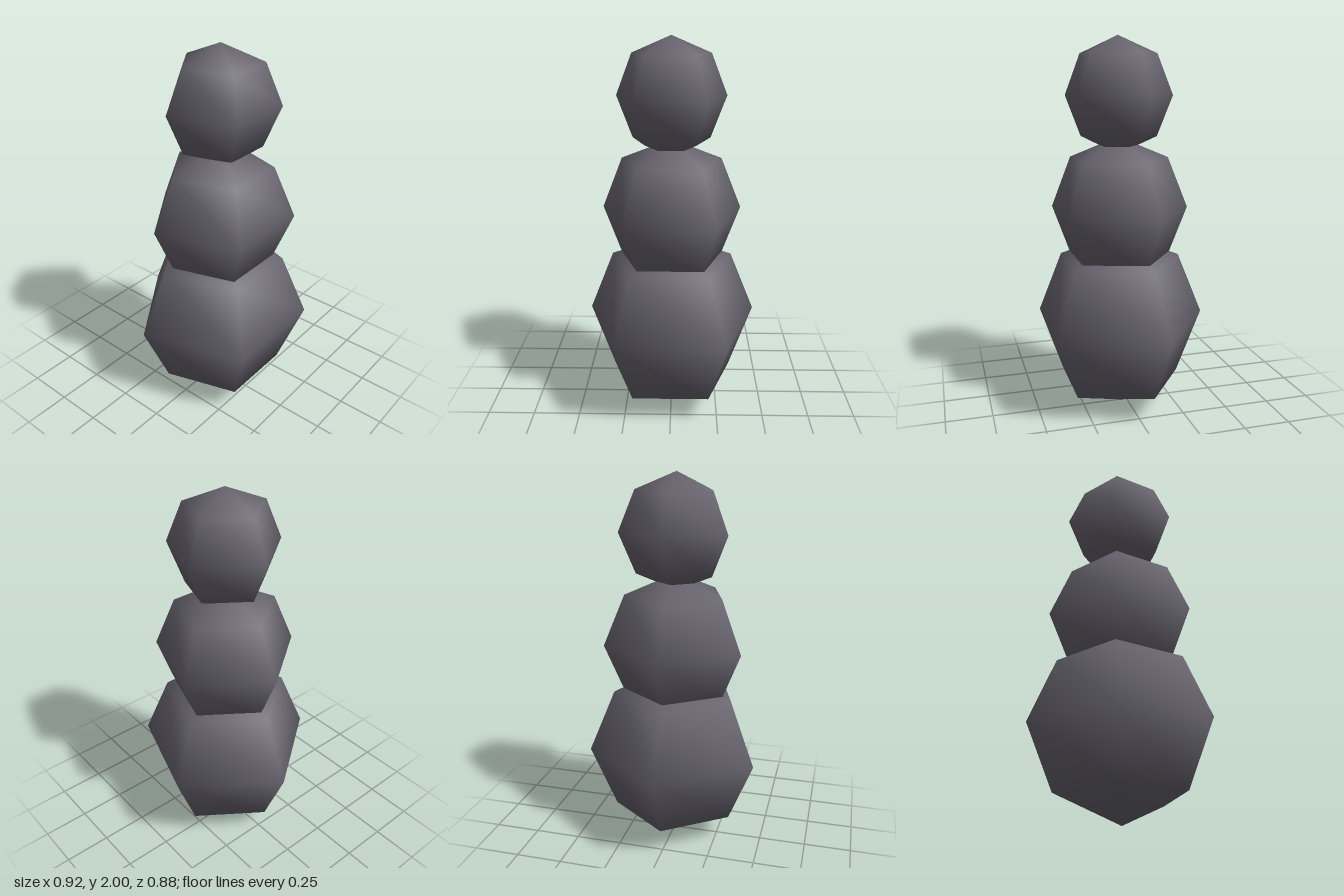
import * as THREE from 'three';

export function createModel() {
  const group = new THREE.Group();
  group.name = 'stackedFigure';

  const slate = new THREE.MeshStandardMaterial({ color: 0x67646e });
  slate.name = 'slate grey';

  // Five-sided smooth balls, one corner pointing to the back
  const ball = (name, radius, y) => {
    const geometry = new THREE.SphereGeometry(radius, 5, 4, -Math.PI / 2);
    const mesh = new THREE.Mesh(geometry, slate);
    mesh.name = name;
    mesh.position.set(0, y, 0.046);
    group.add(mesh);
  };

  ball('base', 0.485, 0.487);
  ball('torso', 0.392, 1.095);
  ball('head', 0.302, 1.698);

  return group;
}
